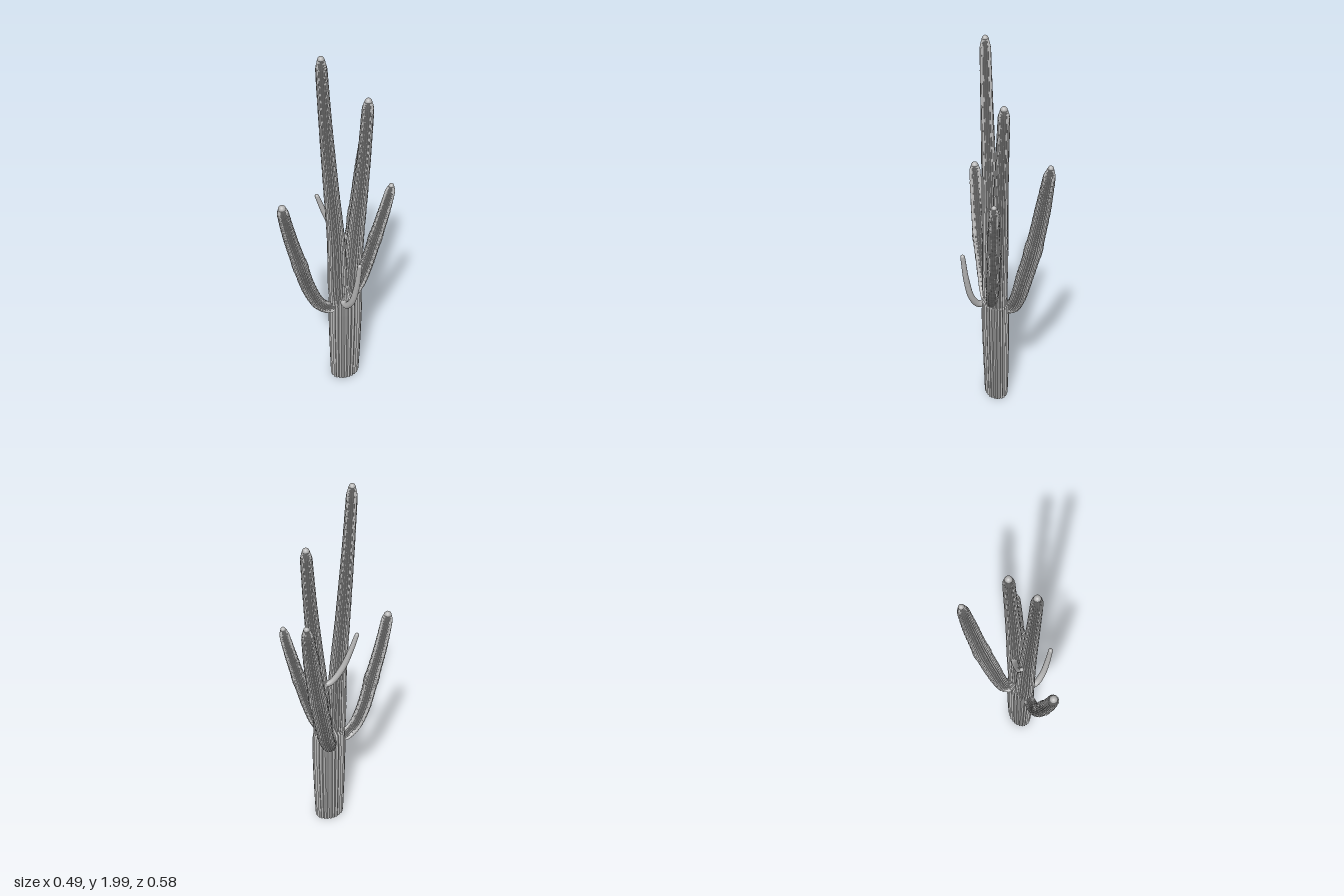
import * as THREE from 'three';
import { mergeVertices } from 'three/addons/utils/BufferGeometryUtils.js';

const skin = new THREE.MeshStandardMaterial({ color: 0xb4b4b4 });
skin.name = 'cactusGrey';

// Sweep a ribbed cross-section along points [x, y, z, radius].
function limb(name, points, { ribs = 24, depth = 0.07, rings = 70, bump = 0, stretch = 1, side = null, collar = -1 } = {}) {
  const group = new THREE.Group();
  group.name = name;
  const centres = points.map((p) => new THREE.Vector3(p[0], p[1], p[2]));
  const curve = new THREE.CatmullRomCurve3(centres);
  const last = points.length - 1;
  const lean = centres[last].clone().sub(centres[0]);
  const across = side || new THREE.Vector3(0, 1, 0).cross(lean).normalize();
  const sides = ribs > 0 ? ribs * 2 : 16;

  const pos = [centres[0].x, centres[0].y, centres[0].z];
  const index = [];
  let endTangent;
  for (let i = 0; i <= rings; i++) {
    const t = i / rings;
    const k = Math.min(Math.floor(t * last), last - 1);
    let r = THREE.MathUtils.lerp(points[k][3], points[k + 1][3], t * last - k);
    // Swollen joint and fine rows of areoles
    if (collar > 0) r *= 1 + 0.1 * Math.exp(-(((t - collar) / 0.025) ** 2));
    r *= 1 + bump * (i % 2 ? 1 : -1);
    const c = curve.getPoint(t);
    const T = curve.getTangent(t);
    const N = across.clone().addScaledVector(T, -T.dot(across)).normalize();
    const B = T.clone().cross(N);
    for (let j = 0; j < sides; j++) {
      const a = (j / sides) * Math.PI * 2;
      const rr = ribs > 0 ? r * (1 + (j % 2 ? -depth : depth)) : r;
      const v = c.clone().addScaledVector(N, rr * Math.cos(a)).addScaledVector(B, rr * stretch * Math.sin(a));
      pos.push(v.x, v.y, v.z);
    }
    endTangent = T;
  }
  for (let j = 0; j < sides; j++) {
    const n = (j + 1) % sides;
    index.push(0, 1 + n, 1 + j); // closed foot
    for (let i = 0; i < rings; i++) {
      const a = 1 + i * sides + j, b = 1 + i * sides + n;
      index.push(a, b, b + sides, a, b + sides, a + sides);
    }
  }
  let geo = new THREE.BufferGeometry();
  geo.setAttribute('position', new THREE.Float32BufferAttribute(pos, 3));
  geo.setIndex(index);
  if (ribs > 0) geo = geo.toNonIndexed(); // crisp ribs
  geo.computeVertexNormals();
  const body = new THREE.Mesh(geo, skin);
  body.name = name + 'Body';
  group.add(body);

  // Smooth growing tip
  const r = points[last][3];
  const dome = new THREE.SphereGeometry(r, 20, 6, 0, Math.PI * 2, 0, Math.PI / 2);
  const tip = new THREE.Mesh(mergeVertices(dome), skin);
  tip.name = name + 'Tip';
  tip.scale.set(1, 1.1, 1);
  tip.position.copy(centres[last]);
  tip.quaternion.setFromUnitVectors(new THREE.Vector3(0, 1, 0), endTangent);
  group.add(tip);
  return group;
}

export function createModel() {
  const model = new THREE.Group();
  model.name = 'cactus';
  const diagonal = new THREE.Vector3(1, 0, 1).normalize();

  // Oval trunk that forks into two tall stems
  model.add(limb('trunk', [
    [0.015, 0, 0.027, 0.058], [0.016, 0.16, 0.027, 0.062], [0.017, 0.32, 0.028, 0.065],
    [0.018, 0.48, 0.029, 0.067], [0.018, 0.59, 0.03, 0.064], [0.018, 0.64, 0.03, 0.03],
  ], { ribs: 26, depth: 0.05, rings: 40, stretch: 1.34, side: diagonal }));

  model.add(limb('tallStem', [
    [-0.004, 0.48, 0.052, 0.046], [-0.012, 0.66, 0.062, 0.049], [-0.017, 0.95, 0.07, 0.043],
    [-0.036, 1.3, 0.087, 0.035], [-0.053, 1.65, 0.104, 0.029], [-0.064, 1.93, 0.115, 0.025],
    [-0.065, 1.973, 0.116, 0.016],
  ], { ribs: 22, side: diagonal, bump: 0.008 }));

  model.add(limb('secondStem', [
    [0.038, 0.48, 0.008, 0.046], [0.044, 0.66, 0.002, 0.048], [0.056, 0.92, -0.014, 0.042],
    [0.074, 1.18, -0.029, 0.036], [0.088, 1.42, -0.044, 0.031], [0.098, 1.67, -0.058, 0.027],
    [0.099, 1.705, -0.059, 0.018],
  ], { ribs: 22, side: diagonal, bump: 0.008 }));

  // Ribbed arms
  model.add(limb('frontArm', [
    [-0.01, 0.53, 0.07, 0.026], [-0.045, 0.525, 0.1, 0.029], [-0.088, 0.57, 0.137, 0.032],
    [-0.13, 0.69, 0.172, 0.035], [-0.16, 0.86, 0.207, 0.035], [-0.195, 1.05, 0.238, 0.032],
    [-0.217, 1.21, 0.259, 0.027], [-0.219, 1.235, 0.261, 0.02],
  ], { bump: 0.02, collar: 0.571 }));

  model.add(limb('sideArm', [
    [0.025, 0.6, 0.035, 0.026], [0.06, 0.61, 0.025, 0.028], [0.09, 0.67, 0.01, 0.031],
    [0.122, 0.79, -0.01, 0.033], [0.158, 0.95, -0.032, 0.032], [0.192, 1.1, -0.05, 0.029],
    [0.218, 1.23, -0.064, 0.023], [0.222, 1.258, -0.066, 0.014],
  ], { bump: 0.02, collar: 0.571 }));

  model.add(limb('backArm', [
    [0.0, 0.56, -0.01, 0.032], [-0.012, 0.57, -0.055, 0.035], [-0.008, 0.63, -0.088, 0.038],
    [-0.003, 0.77, -0.128, 0.042], [0.005, 0.95, -0.178, 0.041], [0.016, 1.2, -0.23, 0.037],
    [0.023, 1.38, -0.261, 0.028], [0.025, 1.422, -0.268, 0.015],
  ], { bump: 0.02, collar: 0.571 }));

  // Thin young shoots without ribs
  model.add(limb('upperShoot', [
    [0.04, 0.93, -0.02, 0.015], [0.0, 0.94, 0.002, 0.016], [-0.05, 1.015, 0.033, 0.016],
    [-0.085, 1.11, 0.054, 0.014], [-0.114, 1.21, 0.072, 0.011],
  ], { ribs: 0, rings: 30 }));

  model.add(limb('lowerShoot', [
    [0.02, 0.58, 0.08, 0.017], [0.05, 0.575, 0.108, 0.018], [0.09, 0.63, 0.13, 0.017],
    [0.12, 0.75, 0.144, 0.015], [0.138, 0.895, 0.153, 0.012],
  ], { ribs: 0, rings: 30 }));

  return model;
}
